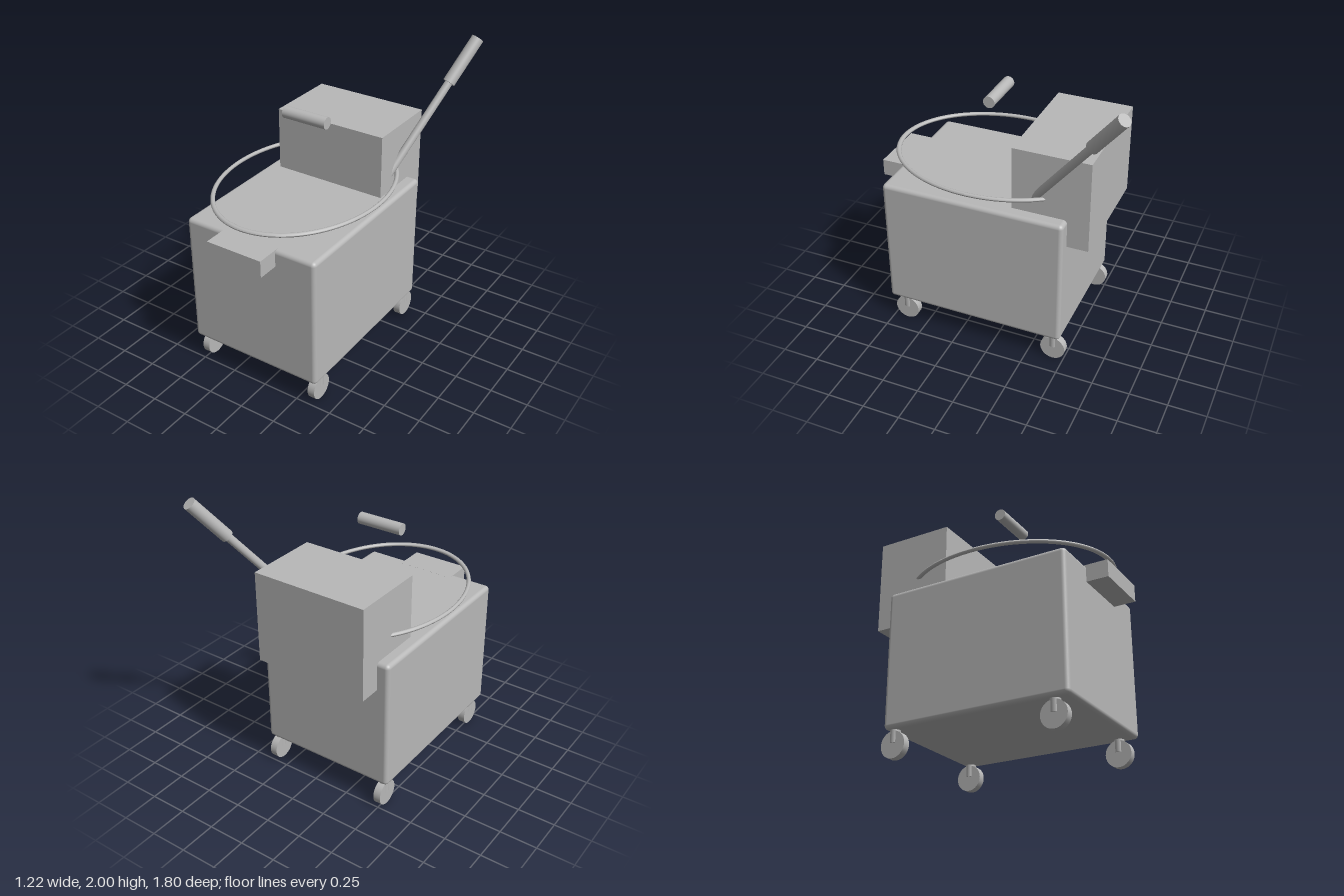
import * as THREE from 'three';
import { RoundedBoxGeometry } from 'three/addons/geometries/RoundedBoxGeometry.js';

const CX = -0.074, CZ = 0.14; // centre of the bucket

export function createModel() {
  const model = new THREE.Group();
  model.name = 'mopBucket';
  const grey = new THREE.MeshStandardMaterial({ color: 0xb8b8b8 });
  grey.name = 'plain grey';

  function add(name, geometry, x, y, z) {
    const mesh = new THREE.Mesh(geometry, grey);
    mesh.name = name;
    mesh.position.set(x, y, z);
    model.add(mesh);
    return mesh;
  }

  // Cylinder between two points
  function rod(name, from, to, radius) {
    const dir = to.clone().sub(from);
    const mid = from.clone().add(to).multiplyScalar(0.5);
    const mesh = add(name, new THREE.CylinderGeometry(radius, radius, dir.length(), 32), mid.x, mid.y, mid.z);
    mesh.quaternion.setFromUnitVectors(new THREE.Vector3(0, 1, 0), dir.normalize());
    return mesh;
  }

  // Bucket, wringer and pouring spout
  add('bucket', new RoundedBoxGeometry(0.956, 0.902, 1.243, 4, 0.028), CX, 0.629, CZ);
  add('wringer', new THREE.BoxGeometry(0.792, 0.62, 0.51), CX, 1.197, -0.369);
  add('spout', new THREE.BoxGeometry(0.396, 0.113, 0.205), CX, 1.024, 0.802);

  // Oval carrying bail with a separate grip above it
  const bail = add('bail', new THREE.TorusGeometry(0.528, 0.013, 12, 96), CX, 1.194, CZ);
  bail.geometry.rotateX(Math.PI / 2);
  bail.geometry.scale(1, 1, 1.3);
  bail.geometry.computeVertexNormals();
  rod('bailGrip', new THREE.Vector3(-0.23, 1.645, CZ), new THREE.Vector3(0.082, 1.645, CZ), 0.039);

  // Wringer lever
  const top = new THREE.Vector3(0.57, 1.976, -0.866);
  const gripStart = new THREE.Vector3(0.482, 1.72, -0.669);
  const base = gripStart.clone().lerp(top, -2.4);
  rod('leverRod', base, gripStart.clone().lerp(top, 0.1), 0.026);
  rod('leverGrip', gripStart, top, 0.041);

  // Casters
  for (const x of [-0.497, 0.35]) {
    for (const z of [0.65, -0.426]) {
      add('casterStem', new THREE.CylinderGeometry(0.032, 0.032, 0.1, 24), x, 0.147, z);
      const wheel = add('casterWheel', new THREE.CylinderGeometry(0.085, 0.085, 0.05, 32), x, 0.086, z);
      wheel.rotation.z = Math.PI / 2;
    }
  }
  return model;
}
